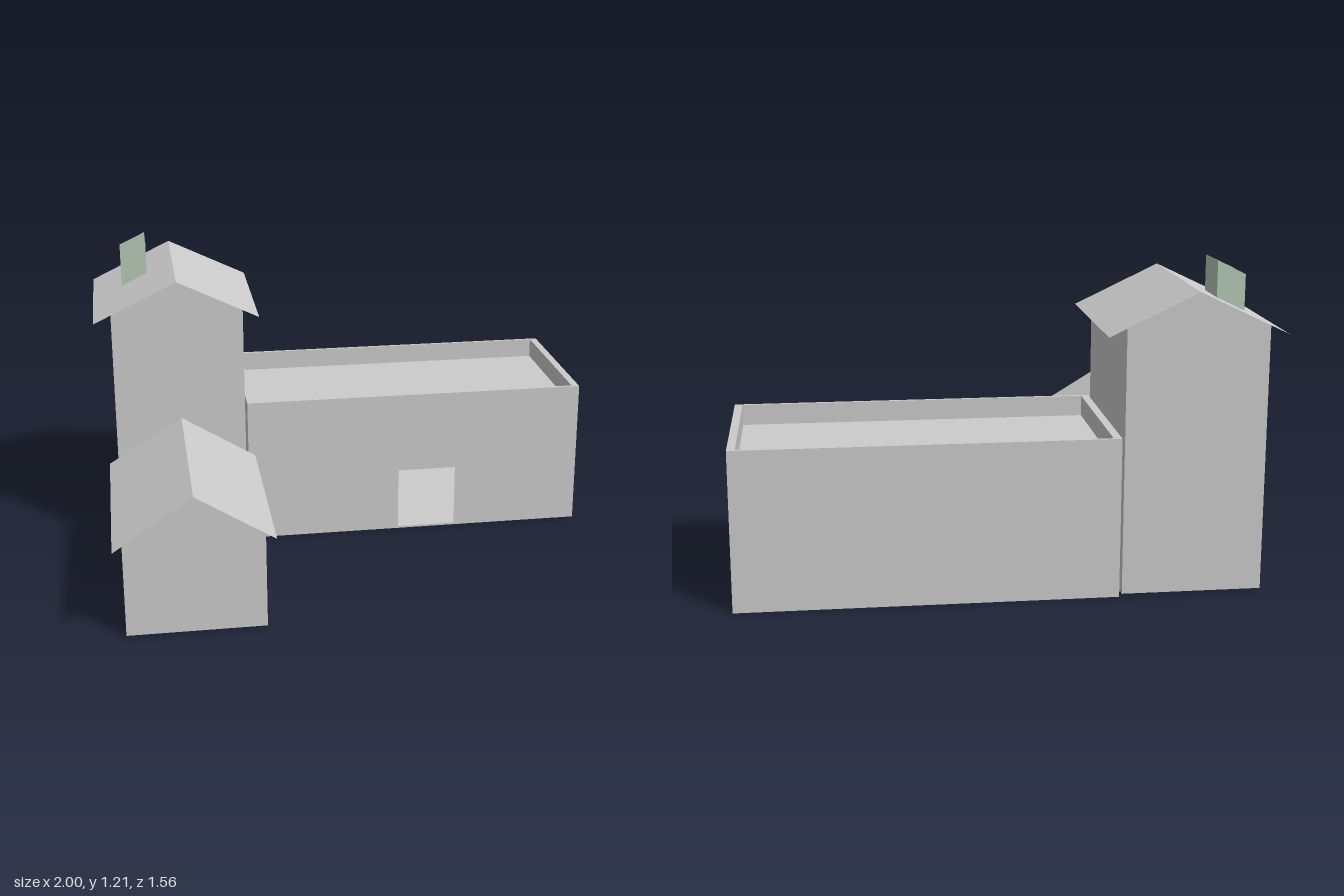
import * as THREE from 'three';

const grey = new THREE.MeshStandardMaterial({ color: 0xcccccc, side: THREE.DoubleSide, flatShading: true });
const green = new THREE.MeshStandardMaterial({ color: 0xb4c8b6, side: THREE.DoubleSide, flatShading: true });

function add(parent, name, geometry, material = grey) {
  const mesh = new THREE.Mesh(geometry, material);
  mesh.name = name;
  parent.add(mesh);
  return mesh;
}

function outline(points) {
  return new THREE.Shape(points.map(([a, b]) => new THREE.Vector2(a, b)));
}

const rect = (a0, a1, b0, b1) => [[a0, b0], [a1, b0], [a1, b1], [a0, b1]];

// Flat panel across one axis: 'z' uses (x, y), 'x' uses (z, y), 'y' uses (x, z)
function panel(points, axis, at, hole) {
  const shape = outline(points);
  if (hole) shape.holes.push(outline(hole));
  const geometry = new THREE.ShapeGeometry(shape);
  if (axis === 'x') return geometry.rotateY(-Math.PI / 2).translate(at, 0, 0);
  if (axis === 'y') return geometry.rotateX(Math.PI / 2).translate(0, at, 0);
  return geometry.translate(0, 0, at);
}

// Flat four-cornered sheet
function sheet(corners) {
  const geometry = new THREE.BufferGeometry();
  geometry.setAttribute('position', new THREE.Float32BufferAttribute(corners.flat(), 3));
  geometry.setIndex([0, 1, 2, 0, 2, 3]);
  geometry.computeVertexNormals();
  return geometry;
}

// Gabled shell with two thin roof slopes
function gabledHouse({ name, x0, x1, z0, z1, base, eave, ridge, window, roof }) {
  const group = new THREE.Group();
  group.name = name;
  const mid = (x0 + x1) / 2;
  const gable = [[x0, base], [x1, base], [x1, eave], [mid, ridge], [x0, eave]];
  add(group, 'frontGable', panel(gable, 'z', z1));
  add(group, 'backGable', panel(gable, 'z', z0));
  add(group, 'rightWall', panel(rect(z0, z1, base, eave), 'x', x0, window));
  add(group, 'leftWall', panel(rect(z0, z1, base, eave), 'x', x1));
  add(group, 'floor', panel(rect(x0, x1, z0, z1), 'y', base));
  for (const side of roof.slopes) {
    const y = ridge - Math.abs(side.x - mid) * (ridge - eave) / (mid - x0);
    add(group, side.name, sheet([
      [mid, ridge, roof.back], [mid, ridge, roof.front],
      [side.x, y, side.front], [side.x, y, roof.back],
    ]));
  }
  return group;
}

export function createModel() {
  const model = new THREE.Group();
  model.name = 'farmBuildings';

  // Tall tower
  const tower = gabledHouse({
    name: 'tower', x0: -0.93, x1: -0.41, z0: -0.775, z1: -0.09,
    base: 0.01, eave: 1.0, ridge: 1.125,
    window: rect(-0.58, -0.52, 0.13, 0.19),
    roof: {
      back: -0.777, front: -0.09,
      slopes: [
        { name: 'roofRight', x: -1.0, front: -0.09 },
        { name: 'roofLeft', x: -0.345, front: -0.085 },
      ],
    },
  });
  model.add(tower);

  // Low front wing
  const wing = gabledHouse({
    name: 'frontWing', x0: -0.93, x1: -0.41, z0: -0.07, z1: 0.695,
    base: 0.01, eave: 0.405, ridge: 0.565,
    roof: {
      back: -0.07, front: 0.74,
      slopes: [
        { name: 'roofRight', x: -0.965, front: 0.778 },
        { name: 'roofLeft', x: -0.375, front: 0.745 },
      ],
    },
  });
  model.add(wing);

  // Narrow ledges on the side walls
  const ledge = (parent, x, y, z) =>
    add(parent, 'ledge', new THREE.BoxGeometry(0.004, 0.006, 0.06).translate(x, y, z));
  for (const z of [-0.73, -0.385]) ledge(tower, -0.93, 0.272, z);
  for (const z of [-0.035, 0.27]) ledge(wing, -0.41, 0.235, z);

  // Chimney: open shaft with bottom and top cut parallel to the roof slope
  const chimney = new THREE.Group();
  chimney.name = 'chimney';
  const [cx0, cx1, cz0, cz1] = [-0.88, -0.775, -0.605, -0.437];
  const side = [[cx0, 1.024], [cx1, 1.074], [cx1, 1.208], [cx0, 1.158]];
  add(chimney, 'chimneyFront', panel(side, 'z', cz1), green);
  add(chimney, 'chimneyBack', panel(side, 'z', cz0), green);
  add(chimney, 'chimneyRight', panel(rect(cz0, cz1, 1.024, 1.158), 'x', cx0), green);
  add(chimney, 'chimneyLeft', panel(rect(cz0, cz1, 1.074, 1.208), 'x', cx1), green);
  model.add(chimney);

  // Long hall with a doorway and a sunken flat roof
  const hall = new THREE.Group();
  hall.name = 'hall';
  const [x0, x1, z0, z1, deckY, topY] = [-0.4, 1.0, -0.778, -0.1, 0.52, 0.6];
  add(hall, 'frontWall', panel(rect(x0, x1, 0, topY), 'z', z1, rect(0.23, 0.473, 0.008, 0.265)));
  add(hall, 'backWall', panel(rect(x0, x1, 0, topY), 'z', z0));
  add(hall, 'rightWall', panel(rect(z0, z1, 0, topY), 'x', x0));
  add(hall, 'leftWall', panel(rect(z0, z1, 0, topY), 'x', x1));
  add(hall, 'floor', panel(rect(x0, x1, z0, z1), 'y', 0));

  // Parapet rim, its inner faces and the roof deck
  const [ix0, ix1, iz0, iz1] = [-0.37, 0.97, -0.766, -0.113];
  add(hall, 'parapetRim', panel(rect(x0, x1, z0, z1), 'y', topY, rect(ix0, ix1, iz0, iz1)));
  for (const z of [iz0, iz1]) add(hall, 'parapetInner', panel(rect(ix0, ix1, deckY, topY), 'z', z));
  for (const x of [ix0, ix1]) add(hall, 'parapetInner', panel(rect(iz0, iz1, deckY, topY), 'x', x));
  add(hall, 'roofDeck', panel(rect(ix0, ix1, iz0, iz1), 'y', deckY));
  model.add(hall);

  return model;
}
